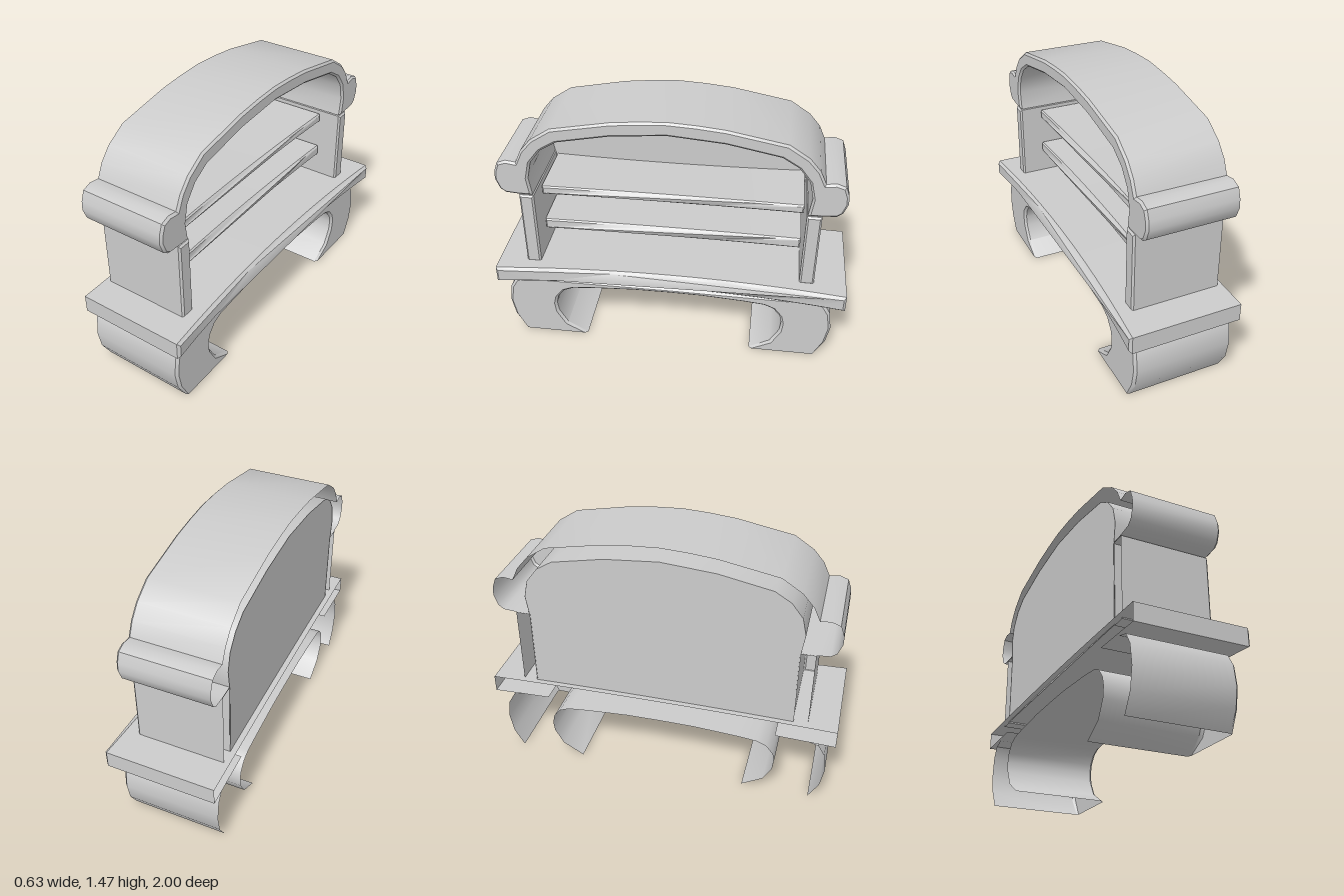
import * as THREE from 'three';
import { mergeVertices, toCreasedNormals } from 'three/addons/utils/BufferGeometryUtils.js';

const material = new THREE.MeshStandardMaterial({ color: 0xcccccc, side: THREE.DoubleSide });
const CENTRE = 0.008; // z centre of everything but the slab

// Half outline [z, y] running from z = 0 back to z = 0, completed by its mirror image
const mirrored = (half) => [...half, ...half.slice(1, -1).reverse().map(([z, y]) => [-z, y])];

// Move each corner of a counter-clockwise outline inwards; ground points stay on the ground
function inset(loop, d) {
  const n = loop.length;
  return loop.map((p, i) => {
    const e = p.clone().sub(loop[(i + n - 1) % n]).normalize();
    const f = loop[(i + 1) % n].clone().sub(p).normalize();
    const k = d / Math.max(0.4, 1 + e.dot(f));
    const q = new THREE.Vector2(p.x - (e.y + f.y) * k, p.y + (e.x + f.x) * k);
    if (p.y === 0) q.y = 0;
    return q;
  });
}

// Front face, bevelled rim and side walls drawn back from a [z, y] outline; the back is open.
// front(z) gives the depth of the face, skip(a, b) leaves out a wall.
function shell(name, points, back, front, bevel, skip = () => false) {
  const loop = points.map(([z, y]) => new THREE.Vector2(-z, y));
  if (THREE.ShapeUtils.isClockWise(loop)) loop.reverse();
  const face = inset(loop, bevel);
  const pos = [];
  const put = (p, x) => pos.push(x, p.y, -p.x);
  const quad = (a, ax, b, bx, c, cx, d, dx) => {
    put(a, ax); put(b, bx); put(c, cx);
    put(a, ax); put(c, cx); put(d, dx);
  };
  for (const tri of THREE.ShapeUtils.triangulateShape(face, [])) {
    for (const i of tri) put(face[i], front(-loop[i].x));
  }
  loop.forEach((a, i) => {
    const j = (i + 1) % loop.length, b = loop[j];
    if (a.y === 0 && b.y === 0) return;
    const fa = front(-a.x), fb = front(-b.x);
    quad(face[i], fa, a, fa - bevel, b, fb - bevel, face[j], fb);
    if (!skip(a, b)) quad(a, fa - bevel, a, back, b, back, b, fb - bevel);
  });
  const geometry = new THREE.BufferGeometry();
  geometry.setAttribute('position', new THREE.Float32BufferAttribute(pos, 3));
  const mesh = new THREE.Mesh(toCreasedNormals(mergeVertices(geometry, 1e-5), 0.6), material);
  mesh.name = name;
  return mesh;
}

// Long board whose top, bottom and front edges can bow along z
function board(length, top, bottom, segments = 12) {
  const upper = [], lower = [];
  for (let i = 0; i <= segments; i++) {
    const z = length * (i / segments - 0.5);
    upper.push([z, top(z)]);
    lower.unshift([z, bottom(z)]);
  }
  return [...upper, ...lower];
}

export function createModel() {
  const group = new THREE.Group();
  const body = new THREE.Group();
  body.name = 'body';
  body.position.z = CENTRE;
  group.add(body);

  // Curved legs joined by a low arch
  body.add(shell('legs', mirrored([
    [0, 0.41], [0.83, 0.405], [0.9, 0.385], [0.938, 0.32], [0.952, 0.21], [0.932, 0.1], [0.875, 0],
    [0.49, 0], [0.61, 0.07], [0.66, 0.16], [0.667, 0.22], [0.655, 0.27], [0.615, 0.32],
    [0.56, 0.343], [0.44, 0.355], [0.2, 0.37], [0, 0.372],
  ]), -0.31, () => 0.25, 0.014, (a, b) => a.y > 0.4 && b.y > 0.4));

  // Slab with a hollowed front edge, its underside closed only past the legs
  const bow = (z) => 1 - z * z;
  group.add(shell('slab', board(2, (z) => 0.502 + 0.013 * bow(z), (z) => 0.403 + 0.02 * bow(z)),
    -0.32, (z) => 0.31 - 0.045 * bow(z), 0.014,
    (a, b) => Math.abs(a.x + b.x) / 2 < 0.75 && a.y < 0.45));

  // Side posts
  for (const s of [1, -1]) {
    body.add(shell(s > 0 ? 'leftPost' : 'rightPost',
      [[0.745, 0.5], [0.827, 0.5], [0.827, 0.957], [0.745, 0.957]].map(([z, y]) => [s * z, y]),
      -0.29, () => 0.21, 0.01));
  }

  // Arched hood with a rolled scroll at each end
  const hoodInside = [
    [0.75, 0.962], [0.765, 1.07], [0.742, 1.17], [0.68, 1.25], [0.59, 1.305], [0.3, 1.362], [0, 1.387],
  ];
  body.add(shell('hood', mirrored([
    [0, 1.465], [0.15, 1.457], [0.3, 1.442], [0.62, 1.382], [0.73, 1.31], [0.79, 1.24], [0.825, 1.165],
    [0.88, 1.173], [0.93, 1.155], [0.95, 1.1], [0.953, 1.05], [0.93, 0.99], [0.9, 0.968], [0.83, 0.962],
    ...hoodInside,
  ]), -0.29, () => 0.21, 0.012));

  // Back panel filling the opening
  const panel = new THREE.Shape(mirrored([[0, 0.505], [0.75, 0.505], ...hoodInside])
    .map(([z, y]) => new THREE.Vector2(-z, y)));
  const backPanel = new THREE.Mesh(new THREE.ShapeGeometry(panel), material);
  backPanel.name = 'backPanel';
  backPanel.rotation.y = Math.PI / 2;
  backPanel.position.x = -0.288;
  body.add(backPanel);

  // Two shelves, slightly dipped and hollowed at the middle
  [['lowerShelf', 0.65, 0.713], ['upperShelf', 0.888, 0.94]].forEach(([name, low, high]) => {
    const dip = (z) => 0.013 * (1 - (z / 0.735) ** 2);
    body.add(shell(name, board(1.47, (z) => high - dip(z), (z) => low - dip(z)),
      -0.288, (z) => 0.08 - 2 * dip(z), 0.008));
  });

  return group;
}
